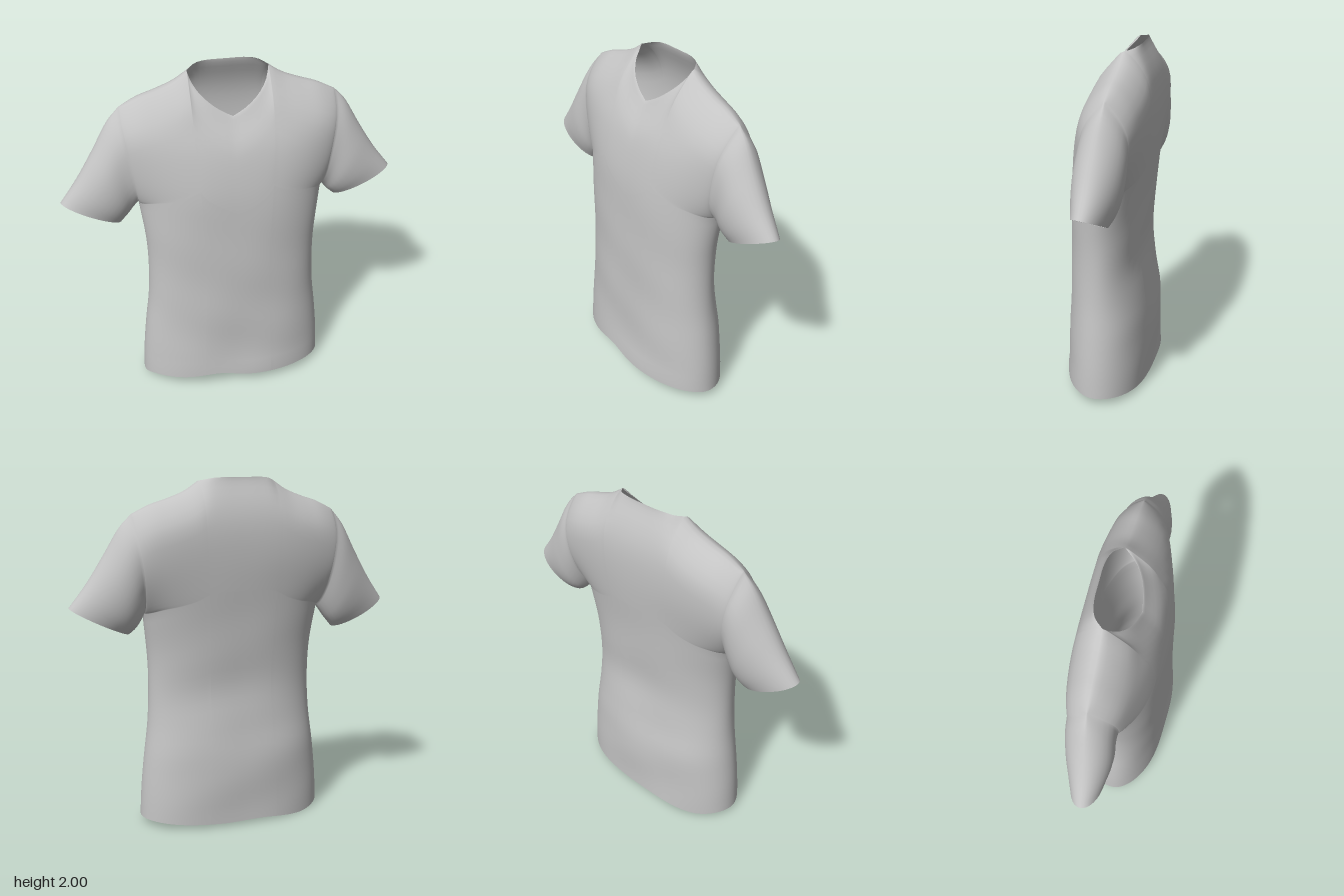
import * as THREE from 'three';

const { lerp } = THREE.MathUtils;

// Smooth curve y(x) through a few points
function curve(...pts) {
  const slope = i => {
    const a = pts[Math.max(i - 1, 0)], b = pts[Math.min(i + 1, pts.length - 1)];
    return (b[1] - a[1]) / (b[0] - a[0]);
  };
  return x => {
    if (x <= pts[0][0]) return pts[0][1];
    if (x >= pts.at(-1)[0]) return pts.at(-1)[1];
    const i = pts.findIndex(p => p[0] > x) - 1;
    const [x0, y0] = pts[i], [x1, y1] = pts[i + 1], h = x1 - x0, t = (x - x0) / h;
    const s = t * t * (3 - 2 * t);
    return lerp(y0, y1, s) + h * t * (1 - t) * ((1 - t) * slope(i) - t * slope(i + 1));
  };
}

// Body outline by height
const halfWidth = curve([0, .56], [.2, .55], [.4, .53], [.6, .505], [.8, .495], [1, .5],
  [1.25, .53], [1.5, .565], [1.7, .595], [1.76, .6], [2, .6]);
const frontZ = curve([0, .235], [.08, .248], [.2, .238], [.4, .23], [.8, .222], [1.2, .212], [1.4, .195],
  [1.6, .15], [1.75, .085], [1.85, .04], [2, -.05]);
const backZ = curve([0, -.25], [.4, -.245], [.6, -.215], [.8, -.19], [1, -.2], [1.2, -.215],
  [1.4, -.235], [1.6, -.25], [1.75, -.245], [1.9, -.21], [2, -.165]);
const sideZ = curve([0, 0], [1, 0], [1.25, -.03], [1.5, -.065], [1.8, -.08], [2, -.09]);

// Neckline and shoulder seam by distance from the middle
const NECK = .225;
const frontNeckY = curve([0, 1.76], [.06, 1.79], [.12, 1.832], [.18, 1.89], [.21, 1.937], [NECK, 1.98]);
const frontNeckZ = curve([0, .055], [.08, .04], [.15, .012], [.2, -.035], [NECK, -.09]);
const backNeckY = curve([0, 2], [.15, 1.998], [NECK, 1.98]);
const backNeckZ = curve([0, -.165], [.1, -.163], [.18, -.14], [NECK, -.09]);
const shoulderY = curve([NECK, 1.98], [.3, 1.93], [.4, 1.89], [.5, 1.858], [.6, 1.81]);
const shoulderZ = curve([NECK, -.09], [.6, -.08]);

// Uneven hems
const frontHem = curve([-1, .03], [-.9, .06], [-.55, .08], [-.2, .1], [.1, .07], [.5, .06], [.9, .055], [1, .045]);
const backHem = curve([-1, .03], [-.7, .002], [-.2, .025], [.2, .02], [.6, .03], [1, .045]);

// Columns across the body, closer together at the neck and sides
const half = [];
for (let i = 0; i <= 10; i++) half.push(NECK / .6 * Math.sin(i / 10 * Math.PI / 2));
for (let i = 1; i <= 20; i++) half.push(lerp(NECK / .6, 1, Math.sin(i / 20 * Math.PI / 2)));
const columns = [...half.slice(1).reverse().map(s => -s), ...half];

// Rows up the body: below the armpit, then along the armhole
const LOW = 24, ARM = 16, ARMPIT = .685;

function bodyPoint(isFront, s, row) {
  const t = Math.max(0, row - LOW) / ARM * Math.PI;
  const v = row <= LOW ? ARMPIT * row / LOW : lerp(ARMPIT, 1, (1 - Math.cos(t)) / 2);
  const d = Math.abs(s), ax = d * .6, atNeck = ax < NECK;
  const top = atNeck ? (isFront ? frontNeckY : backNeckY)(ax) : shoulderY(ax);
  const seam = atNeck ? (isFront ? frontNeckZ : backNeckZ)(ax) : shoulderZ(ax);
  const y = lerp((isFront ? frontHem : backHem)(s), top, v);
  const x = s * halfWidth(y);
  const armhole = Math.sin(t);
  const edge = sideZ(y) + (isFront ? .13 : -.13) * armhole;
  const bulge = Math.pow(Math.max(0, 1 - Math.pow(d, 2.6)), .5 + .35 * armhole);
  let z = lerp(edge, (isFront ? frontZ : backZ)(y), bulge);
  // soft cloth folds
  z += .005 * bulge * (1 - v) * Math.sin(9 * x + 5 * y) * Math.cos(11 * y - 3 * x);
  // roll over into the shoulder seam
  const k = 1 - Math.min((top - y) / .2, 1);
  z = lerp(seam, z, Math.sqrt(1 - k * k));
  return [x, y, z];
}

// Sleeve shape from armhole (0) to cuff (1)
const topX = curve([0, .6], [.25, .67], [.5, .755], [.75, .85], [1, .95]);
const topY = curve([0, 1.81], [.25, 1.735], [.5, 1.59], [.75, 1.44], [1, 1.31]);
const lowX = curve([0, .53], [.5, .58], [1, .62]);
const lowY = curve([0, 1.25], [.25, 1.215], [.5, 1.185], [1, 1.15]);
const midZ = curve([0, -.07], [.25, -.07], [.5, -.062], [1, -.047]);
const deep = curve([0, .13], [.5, .13], [.75, .115], [1, .088]);

function sleeveRing(side, u, t) {
  const h = (1 - Math.cos(t)) / 2, drop = side < 0 ? u : 0;
  return [
    side * (lerp(lowX(u), topX(u), h) + .012 * drop),
    lerp(lowY(u), topY(u), h) - .042 * drop + .012 * u * Math.sin(t),
    midZ(u) + deep(u) * Math.sin(t),
  ];
}

function sleevePoint(side, u, i) {
  const t = i / ARM * Math.PI, isFront = i <= ARM;
  const edge = bodyPoint(isFront, side, LOW + (isFront ? i : 2 * ARM - i));
  const start = sleeveRing(side, 0, t), fade = (1 - u) ** 2;
  return sleeveRing(side, u, t).map((p, n) => p + (edge[n] - start[n]) * fade);
}

// Sheet of rows and columns
function sheet(rows, cols, point, flip) {
  const pos = [], index = [];
  for (let r = 0; r <= rows; r++) for (let c = 0; c <= cols; c++) pos.push(...point(r, c));
  for (let r = 0; r < rows; r++) for (let c = 0; c < cols; c++) {
    const a = r * (cols + 1) + c, b = a + 1, d = a + cols + 1, e = d + 1;
    index.push(...(flip ? [a, d, b, b, d, e] : [a, b, d, b, e, d]));
  }
  const g = new THREE.BufferGeometry();
  g.setAttribute('position', new THREE.Float32BufferAttribute(pos, 3));
  g.setIndex(index);
  g.computeVertexNormals();
  return g;
}

// Share normals along the seams so the cloth shades smoothly
function blendNormals(geometries) {
  const sums = new Map(), n = new THREE.Vector3(), p = new THREE.Vector3();
  const visit = fn => geometries.forEach(g => {
    const { position, normal } = g.attributes;
    for (let i = 0; i < position.count; i++) {
      p.fromBufferAttribute(position, i);
      fn(p.toArray().map(q => Math.round(q * 1e4)).join(), normal, i);
    }
  });
  visit((key, normal, i) => {
    if (!sums.has(key)) sums.set(key, new THREE.Vector3());
    sums.get(key).add(n.fromBufferAttribute(normal, i));
  });
  visit((key, normal, i) => {
    n.copy(sums.get(key)).normalize();
    normal.setXYZ(i, n.x, n.y, n.z);
  });
}

export function createModel() {
  const cloth = new THREE.MeshStandardMaterial({ color: 0xc4c4c4, side: THREE.DoubleSide });
  cloth.name = 'grey cloth';

  const panel = isFront => sheet(LOW + ARM, columns.length - 1,
    (r, c) => bodyPoint(isFront, columns[c], r), !isFront);
  const sleeve = side => sheet(2 * ARM, 16, (r, c) => sleevePoint(side, c / 16, r), side < 0);

  const parts = {
    frontPanel: panel(true),
    backPanel: panel(false),
    leftSleeve: sleeve(1),
    rightSleeve: sleeve(-1),
  };
  blendNormals(Object.values(parts));

  const shirt = new THREE.Group();
  shirt.name = 'shirt';
  for (const [name, geometry] of Object.entries(parts)) {
    const mesh = new THREE.Mesh(geometry, cloth);
    mesh.name = name;
    shirt.add(mesh);
  }
  return shirt;
}
